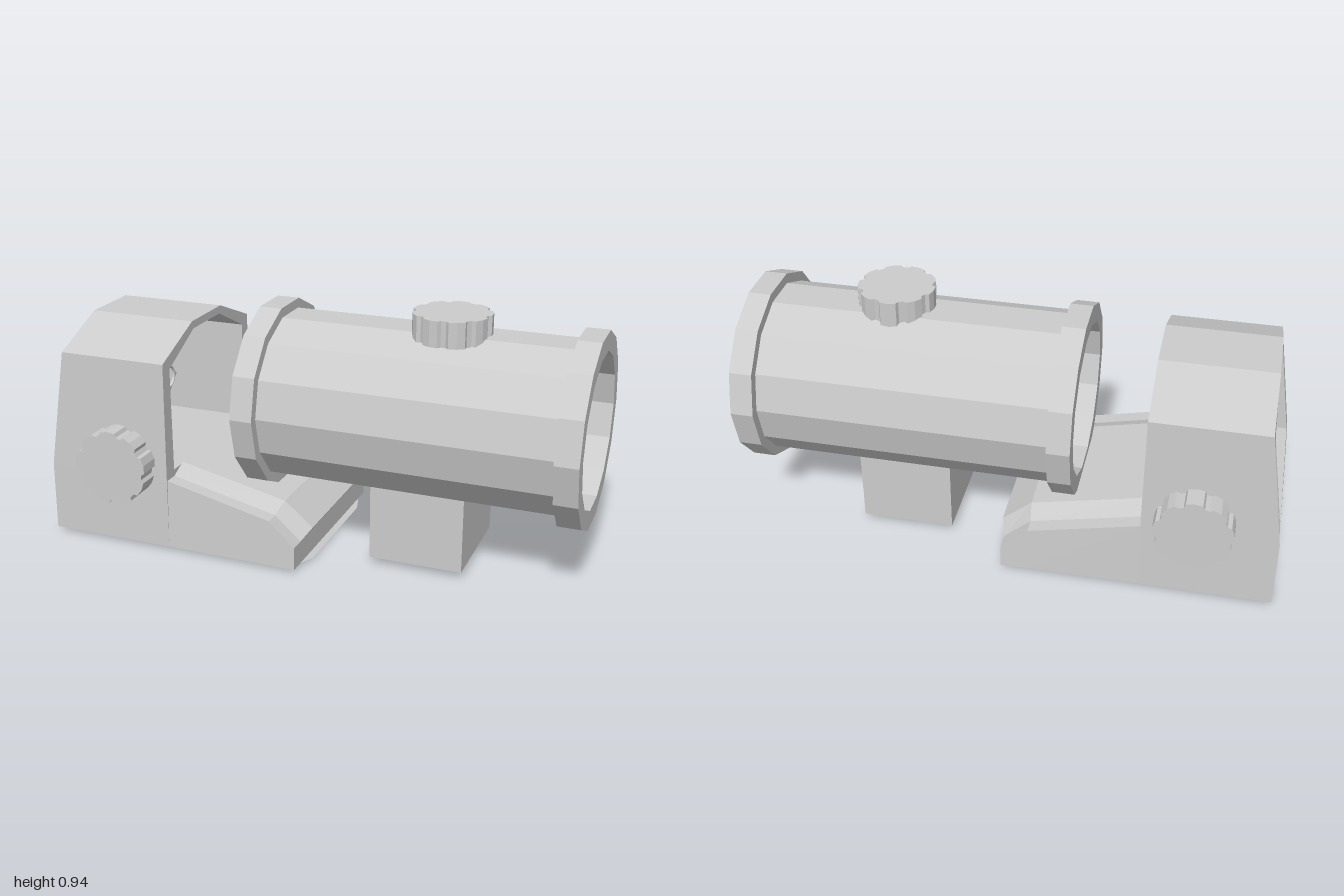
import * as THREE from 'three';

const material = new THREE.MeshStandardMaterial({ color: 0xcccccc, flatShading: true });
const vec = (pts) => pts.map(([x, y]) => new THREE.Vector2(x, y));
const mirror = (pts) => [...pts, ...pts.map(([u, v]) => [-u, v]).reverse()];

function extrude(outline, hole, depth) {
  const shape = new THREE.Shape(vec(outline));
  if (hole) shape.holes.push(new THREE.Path(vec(hole)));
  return new THREE.ExtrudeGeometry(shape, { depth, bevelEnabled: false });
}

// Section in (-z, y), pushed along x from x0 to x1
const alongX = (outline, hole, x0, x1) =>
  extrude(outline, hole, x1 - x0).rotateY(Math.PI / 2).translate(x0, 0, 0);

function ellipse(ru, rv, n) {
  return Array.from({ length: n }, (_, i) => {
    const a = (i / n) * Math.PI * 2;
    return [ru * Math.cos(a), rv * Math.sin(a)];
  });
}

// Round grip with shallow notches
function knobGeometry(depth) {
  const lobes = 9, pts = [];
  for (let i = 0; i < lobes; i++) {
    for (const [f, r] of [[0, 0.142], [0.3, 0.144], [0.6, 0.142], [0.7, 0.13], [0.9, 0.13]]) {
      const a = ((i + f) / lobes) * Math.PI * 2;
      pts.push([r * Math.cos(a), r * Math.sin(a)]);
    }
  }
  return extrude(pts, null, depth);
}

// Sloping front of the base, lofted through mirrored sections along x
function rampGeometry() {
  // x at side, x at middle, bottom at side, bottom at middle, low top, high top, half width at top
  const stations = [
    [-0.51, -0.51, 0.015, 0.015, 0.28, 0.31, 0.365],
    [-0.1, -0.09, 0.012, 0.005, 0.187, 0.217, 0.367],
    [0.0, 0.02, 0.01, 0.0, 0.097, 0.125, 0.371],
  ];
  const n = 12, pos = [], idx = [];
  for (const [xs, xm, bs, bm, low, high, w] of stations) {
    const half = [[xm, bm, 0.24], [xs, bs, 0.31], [xs, bs, 0.375],
      [xs, low, w], [xs, low, 0.31], [xm, high, 0.24]];
    const back = half.map(([x, y, z]) => [x, y, -z]).reverse();
    pos.push(...half.flat(), ...back.flat());
  }
  for (let s = 0; s < stations.length - 1; s++) {
    for (let i = 0; i < n; i++) {
      const a = s * n + i, b = s * n + ((i + 1) % n), c = b + n, d = a + n;
      idx.push(a, d, c, a, c, b);
    }
  }
  // Nose face
  const e = (stations.length - 1) * n;
  for (let i = 0; i < 5; i++) {
    const a = e + i, b = a + 1, c = e + 10 - i, d = c + 1;
    idx.push(a, c, b, a, d, c);
  }
  const g = new THREE.BufferGeometry();
  g.setAttribute('position', new THREE.Float32BufferAttribute(pos, 3));
  g.setIndex(idx);
  const flat = g.toNonIndexed();
  flat.computeVertexNormals();
  return flat;
}

// Arched housing with a leaning rear edge
function hoodGeometry() {
  const outer = mirror([[0.375, 0.015], [0.37, 0.28], [0.36, 0.732], [0.12, 0.83]]);
  const inner = mirror([[0.31, 0.305], [0.31, 0.7], [0.11, 0.8]]);
  const g = alongX(outer, inner, -1, -0.51);
  const p = g.attributes.position;
  for (let i = 0; i < p.count; i++) {
    if (p.getX(i) < -0.9) {
      const t = THREE.MathUtils.clamp((p.getY(i) - 0.28) / 0.452, 0, 1);
      p.setX(i, -1 + 0.07 * t);
    }
  }
  g.computeVertexNormals();
  return g;
}

export function createModel() {
  const model = new THREE.Group();
  const add = (name, geometry, parent = model) => {
    const mesh = new THREE.Mesh(geometry, material);
    mesh.name = name;
    parent.add(mesh);
    return mesh;
  };

  // Hooded sight
  const sight = new THREE.Group();
  sight.name = 'hoodedSight';
  model.add(sight);
  add('hood', hoodGeometry(), sight);
  add('baseRamp', rampGeometry(), sight);
  for (const side of [1, -1]) {
    const knob = add(side > 0 ? 'frontKnob' : 'rearKnob', knobGeometry(0.1), sight);
    knob.position.set(-0.7, 0.335, side * 0.35);
    if (side < 0) knob.rotation.y = Math.PI;
  }

  // Aiming ring with four pointed ticks
  const ticks = ellipse(1, 1, 20).map(([u, v], i) => {
    const r = i % 5 === 0 ? 0.06 : 0.045;
    return [u * r, v * r];
  });
  add('aimingRing', alongX(ticks, ellipse(0.041, 0.041, 20), -0.695, -0.685), sight)
    .position.set(0, 0.55, -0.005);

  // Magnifier tube: barrel with a collar at each end
  const magnifier = new THREE.Group();
  magnifier.name = 'magnifier';
  model.add(magnifier);
  const bore = ellipse(0.305, 0.282, 14);
  for (const [name, x0, x1, rz, ry] of [
    ['nearCollar', -0.25, -0.165, 0.368, 0.355],
    ['barrel', -0.165, 0.915, 0.331, 0.318],
    ['farCollar', 0.915, 1, 0.368, 0.355],
  ]) {
    add(name, alongX(ellipse(rz, ry, 14), bore, x0, x1), magnifier)
      .position.set(0, 0.556, -0.007);
  }

  // Adjustment knob on top of the barrel
  add('topKnob', knobGeometry(0.095).rotateX(-Math.PI / 2), magnifier)
    .position.set(0.465, 0.845, 0.017);

  // Mounting block, its top following the barrel
  const block = mirror([[0.205, 0.025], [0.205, 0.307], [0.073, 0.256]]);
  add('mountBlock', alongX(block, null, 0.23, 0.58), magnifier).position.z = -0.005;

  return model;
}
